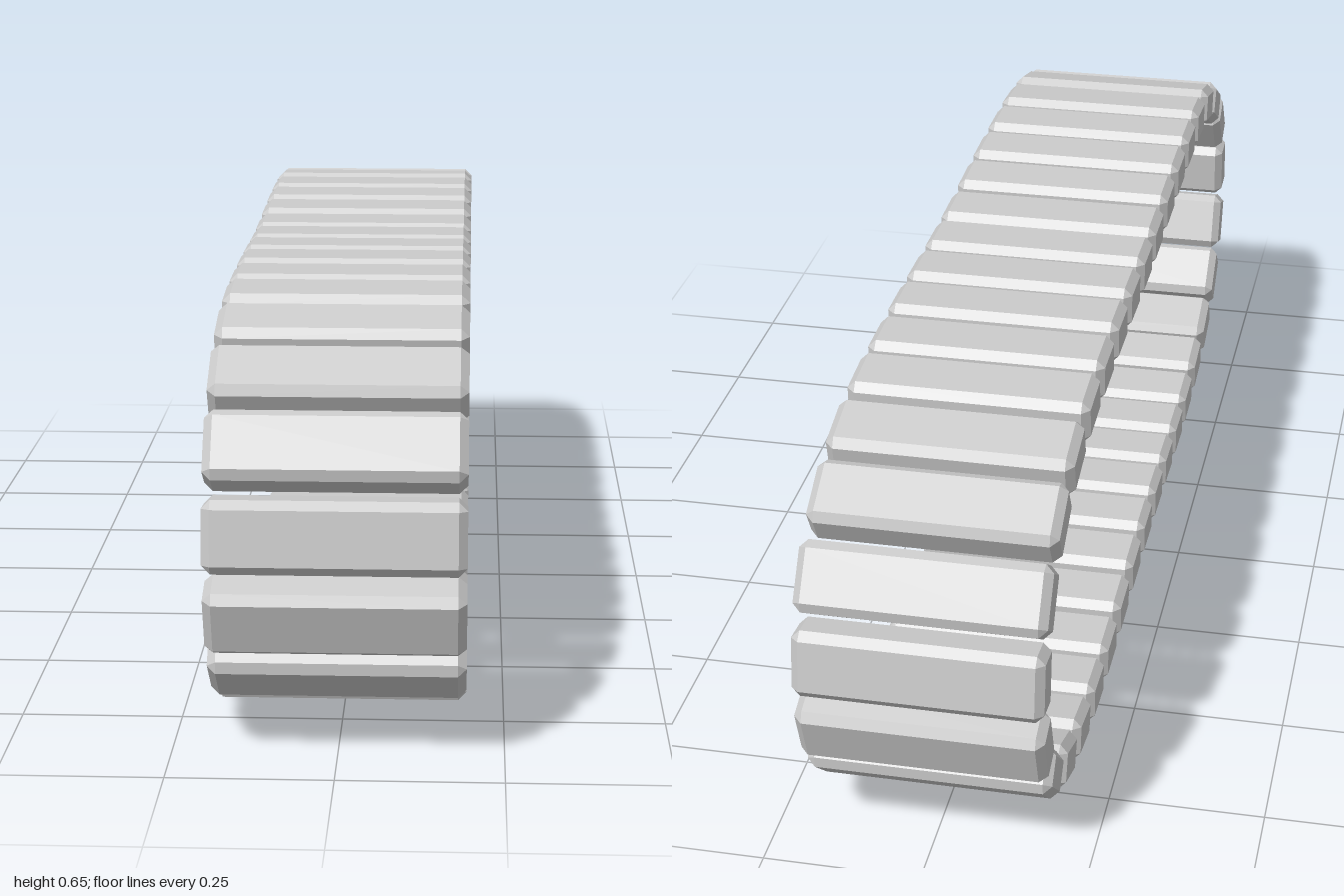
import * as THREE from 'three';
import { ConvexGeometry } from 'three/addons/geometries/ConvexGeometry.js';

// Box with all edges chamfered by c
function chamferBox(w, h, d, c) {
  const x = w / 2, y = h / 2, z = d / 2, points = [];
  for (const sx of [-1, 1]) for (const sy of [-1, 1]) for (const sz of [-1, 1]) {
    points.push(
      new THREE.Vector3(sx * x, sy * (y - c), sz * (z - c)),
      new THREE.Vector3(sx * (x - c), sy * y, sz * (z - c)),
      new THREE.Vector3(sx * (x - c), sy * (y - c), sz * z)
    );
  }
  return new ConvexGeometry(points);
}

// Link centres (z, y) down the front half, from top middle to bottom middle
const HALF = [
  [0.062, 0.611], [0.194, 0.615], [0.323, 0.618], [0.453, 0.618], [0.58, 0.615],
  [0.708, 0.598], [0.826, 0.555], [0.92, 0.476], [0.961, 0.361], [0.949, 0.237],
  [0.882, 0.139], [0.768, 0.08], [0.643, 0.052], [0.514, 0.039], [0.386, 0.037],
  [0.257, 0.041], [0.128, 0.046], [0, 0.048],
];

export function createModel() {
  const track = new THREE.Group();
  track.name = 'trackBelt';

  // Closed loop: the front half, then its mirror back up to the top
  const back = HALF.slice(0, -1).reverse().map(([z, y]) => [-z, y]);
  const centres = [...HALF, ...back].map(([z, y]) => new THREE.Vector3(0, y, z));
  const path = new THREE.CatmullRomCurve3(centres, true);

  const geometry = chamferBox(0.384, 0.073, 0.109, 0.013);
  const material = new THREE.MeshStandardMaterial({ color: 0xcccccc, flatShading: true });

  // One link at each centre, turned along the loop
  centres.forEach((centre, i) => {
    const t = path.getTangent(i / centres.length);
    const link = new THREE.Mesh(geometry, material);
    link.name = `trackLink${i + 1}`;
    link.position.copy(centre);
    link.rotation.x = Math.atan2(-t.y, t.z);
    track.add(link);
  });

  return track;
}
